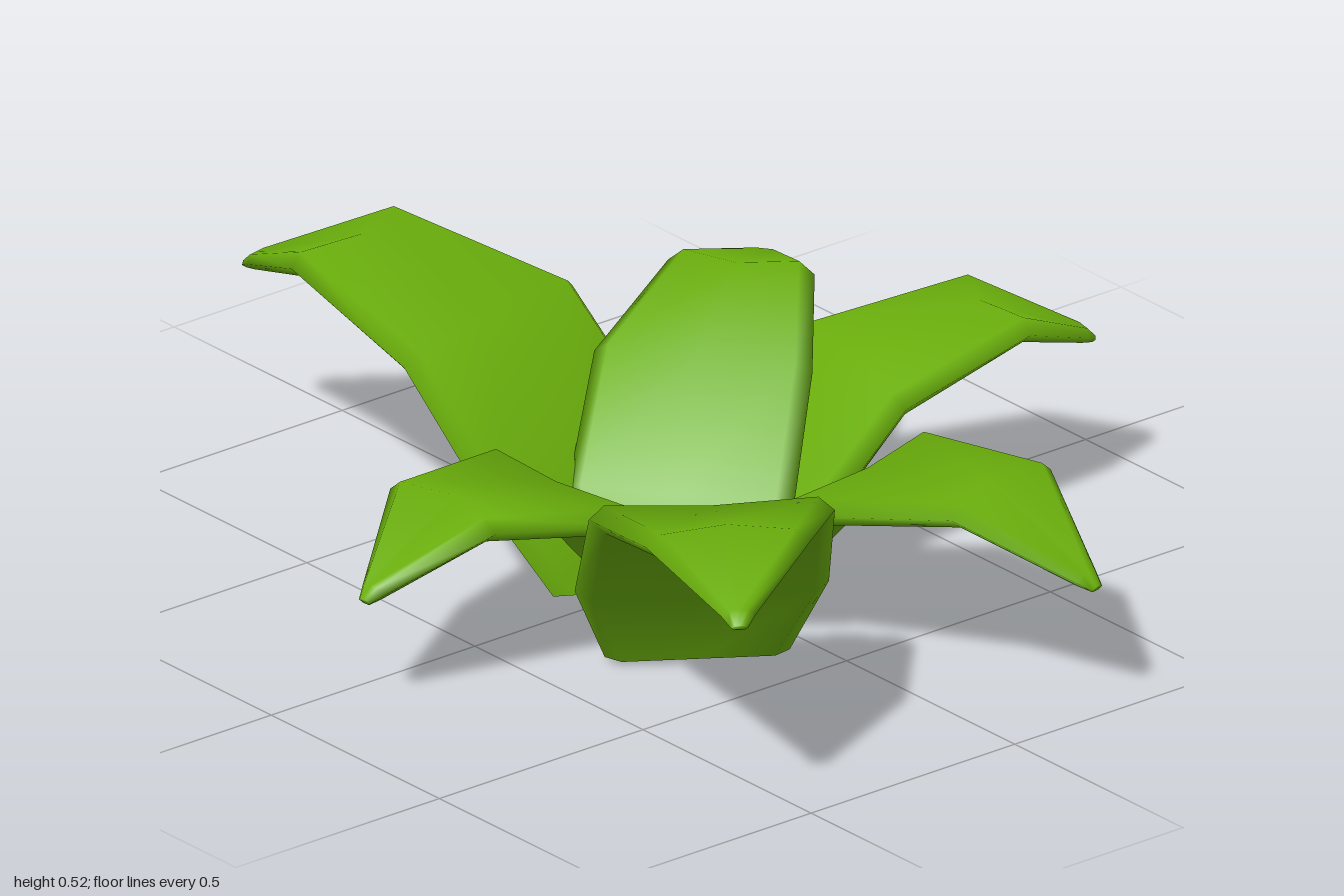
import * as THREE from 'three';

// base and tip of each leaf on the ground plane, ridge height, tip height, width factor
const LEAVES = [
  { name: 'backLeaf',       base: [-0.07, -0.1], tip: [-0.24, -0.99], peak: 0.52, end: 0.38, wide: 1.17, foot: 0.01 },
  { name: 'backLeftLeaf',   base: [-0.07, 0.06], tip: [0.535, -0.385], peak: 0.47, end: 0.375, wide: 1.0, foot: 0 },
  { name: 'leftLeaf',       base: [0.105, 0.02], tip: [0.87, 0.175],  peak: 0.44, end: 0.31, wide: 1.0, foot: 0.01 },
  { name: 'frontLeftLeaf',  base: [0.03, 0.15],  tip: [0.21, 0.99],   peak: 0.415, end: 0.26, wide: 1.06, foot: 0.01 },
  { name: 'frontRightLeaf', base: [-0.21, 0.31], tip: [-0.655, 0.975], peak: 0.525, end: 0.42, wide: 1.1, foot: 0.01 },
  { name: 'rightLeaf',      base: [-0.1, 0.07],  tip: [-0.87, 0.12],  peak: 0.39, end: 0.24, wide: 1.02, foot: 0.01 },
];

// thick blade swept along an arching midrib
function leafGeometry({ base, tip, peak, end, wide, foot }) {
  const dx = tip[0] - base[0], dz = tip[1] - base[1];
  const length = Math.hypot(dx, dz);
  const ux = dx / length, uz = dz / length;
  // distance along the leaf, height, half width, half thickness, forward sweep of the margins
  const rows = [
    [0, foot, 0.16, 0.026, 0],
    [0.11, peak * 0.36, 0.22, 0.027, 0],
    [0.37, peak * 0.8, 0.213, 0.027, -0.02],
    [0.69, peak - 0.026, 0.143, 0.025, 0.035],
    [0.97, end + 0.015, 0.03, 0.015, 0],
    [1, end, 0.015, 0.007, 0],
  ].map(([t, y, w, h, sweep]) => ({ r: t * length, y, w: w * wide, h, sweep }));

  const positions = [], index = [], N = 8;
  const addRing = (i) => {
    const { r, y, w, h, sweep } = rows[i];
    const a = rows[Math.max(i - 1, 0)], b = rows[Math.min(i + 1, rows.length - 1)];
    let nr = -(b.y - a.y), ny = b.r - a.r;
    if (i === 0) { nr = -1; ny = 0; } // level foot
    const l = Math.hypot(nr, ny);
    nr /= l; ny /= l;
    const c = Math.min(0.03, w * 0.45);
    const ring = [[-w, 0], [c - w, h], [0, h], [w - c, h], [w, 0], [w - c, -h], [0, -h], [c - w, -h]];
    for (const [s, n] of ring) {
      const out = r + nr * n + (s === 0 ? 0 : sweep);
      positions.push(base[0] + ux * out + uz * s, y + ny * n, base[1] + uz * out - ux * s);
    }
  };
  rows.forEach((_, i) => addRing(i));
  for (let i = 0; i < rows.length - 1; i++) {
    for (let j = 0; j < N; j++) {
      const a = i * N + j, b = i * N + (j + 1) % N;
      index.push(a, a + N, b, b, a + N, b + N);
    }
  }
  // tip cap, then a foot cap on its own ring to keep that edge sharp
  const last = (rows.length - 1) * N, cap = rows.length * N;
  addRing(0);
  for (let k = 1; k < N - 1; k++) {
    index.push(last, last + k + 1, last + k, cap, cap + k, cap + k + 1);
  }
  const geometry = new THREE.BufferGeometry();
  geometry.setAttribute('position', new THREE.Float32BufferAttribute(positions, 3));
  geometry.setIndex(index);
  geometry.computeVertexNormals();
  return geometry;
}

export function createModel() {
  const plant = new THREE.Group();
  plant.name = 'leafyPlant';
  const leafGreen = new THREE.MeshStandardMaterial({ color: 0x6aae0c });
  leafGreen.name = 'leafGreen';
  for (const leaf of LEAVES) {
    const mesh = new THREE.Mesh(leafGeometry(leaf), leafGreen);
    mesh.name = leaf.name;
    plant.add(mesh);
  }
  return plant;
}
